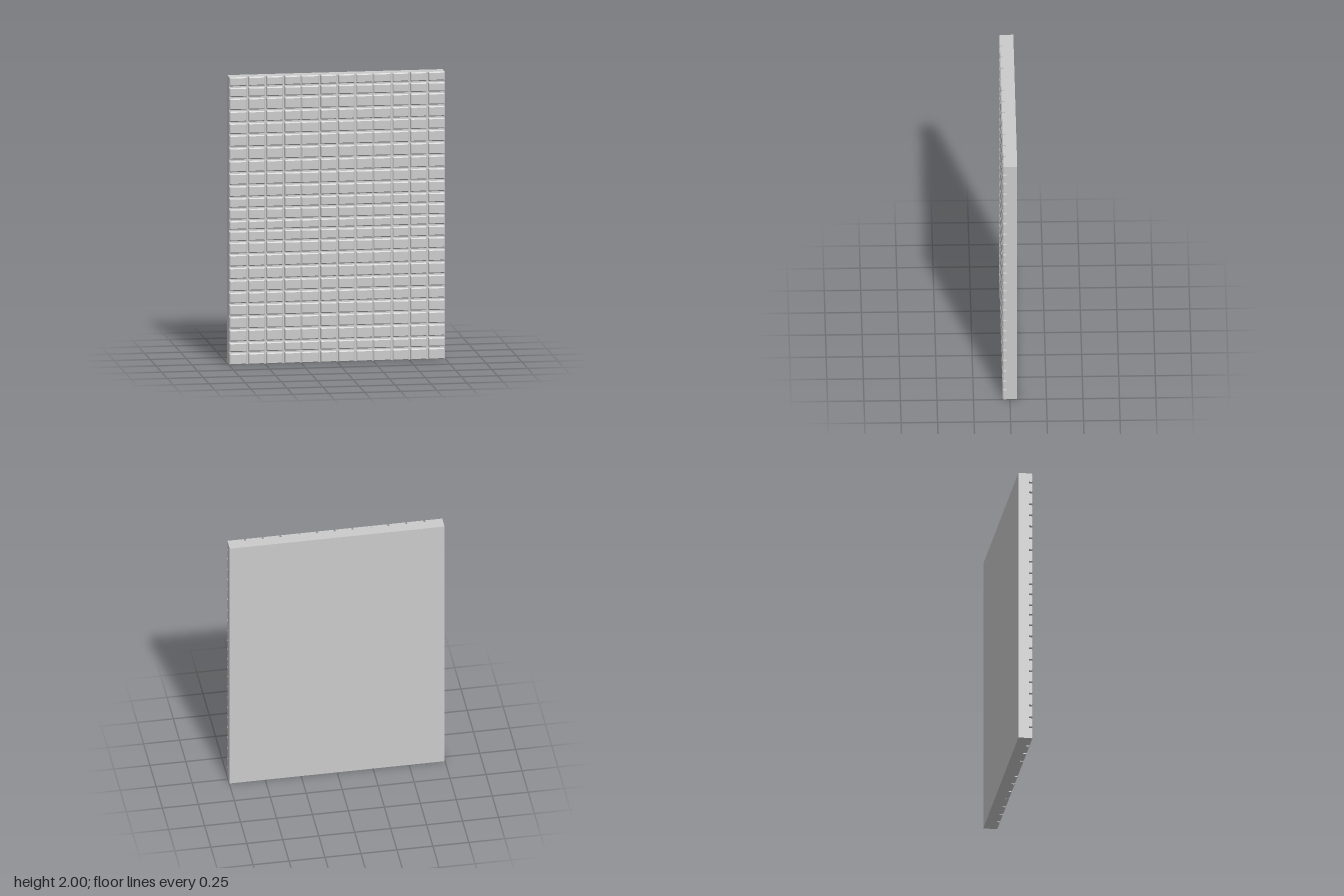
import * as THREE from 'three';
import { mergeGeometries } from 'three/addons/utils/BufferGeometryUtils.js';

const HALF_W = 0.747, HEIGHT = 2, BACK = -0.05, FLOOR = 0.024, FRONT = 0.05;
const BEVEL = 0.007, GAP = 0.012, FINE_GAP = 0.002;

// Centres of the grooves between columns and between rows
const columnJoints = [-0.62, -0.495, -0.37, -0.25, -0.12, 0.003, 0.127, 0.249, 0.38, 0.503, 0.627];
const rowJoints = [0.083, 0.157, 0.247, 0.337, 0.422, 0.507, 0.592, 0.679, 0.769, 0.854, 0.934,
  1.005, 1.087, 1.163, 1.247, 1.334, 1.422, 1.512, 1.6, 1.684, 1.767, 1.857, 1.932];

// Split a length into [start, end] spans separated by grooves
function spans(from, to, joints, gapAt) {
  const edges = [from, ...joints.flatMap((j) => [j - gapAt(j) / 2, j + gapAt(j) / 2]), to];
  return Array.from({ length: joints.length + 1 }, (_, i) => [edges[2 * i], edges[2 * i + 1]]);
}

// Block with a chamfer round its front face
function tileGeometry([x0, x1], [y0, y1]) {
  const w = x1 - x0, h = y1 - y0, back = FLOOR - 0.004, d = FRONT - back;
  const geo = new THREE.BoxGeometry(w, h, d, 1, 1, 2);
  const p = geo.attributes.position;
  for (let i = 0; i < p.count; i++) {
    const z = p.getZ(i);
    if (z > d / 4) {
      p.setX(i, p.getX(i) * (1 - 2 * BEVEL / w));
      p.setY(i, p.getY(i) * (1 - 2 * BEVEL / h));
    } else if (z > -d / 4) {
      p.setZ(i, d / 2 - BEVEL);
    }
  }
  geo.translate((x0 + x1) / 2, (y0 + y1) / 2, (back + FRONT) / 2);
  const flat = geo.toNonIndexed();
  flat.computeVertexNormals();
  return flat;
}

export function createModel() {
  const group = new THREE.Group();
  group.name = 'tiledWallPanel';
  const material = new THREE.MeshStandardMaterial({ color: 0xcccccc, flatShading: true });

  // Backing slab
  const slab = new THREE.Mesh(new THREE.BoxGeometry(2 * HALF_W, HEIGHT, FLOOR - BACK), material);
  slab.position.set(0, HEIGHT / 2, (FLOOR + BACK) / 2);
  slab.name = 'backingSlab';
  group.add(slab);

  // Grid of tiles; two of the column joints are hairline
  const columns = spans(-HALF_W, HALF_W, columnJoints,
    (x) => (Math.abs(Math.abs(x) - 0.25) < 0.01 ? FINE_GAP : GAP));
  const rows = spans(0, HEIGHT, rowJoints, () => GAP);
  rows.forEach((row, i) => {
    const tiles = new THREE.Mesh(mergeGeometries(columns.map((col) => tileGeometry(col, row))), material);
    tiles.name = `tileRow${i + 1}`;
    group.add(tiles);
  });
  return group;
}
